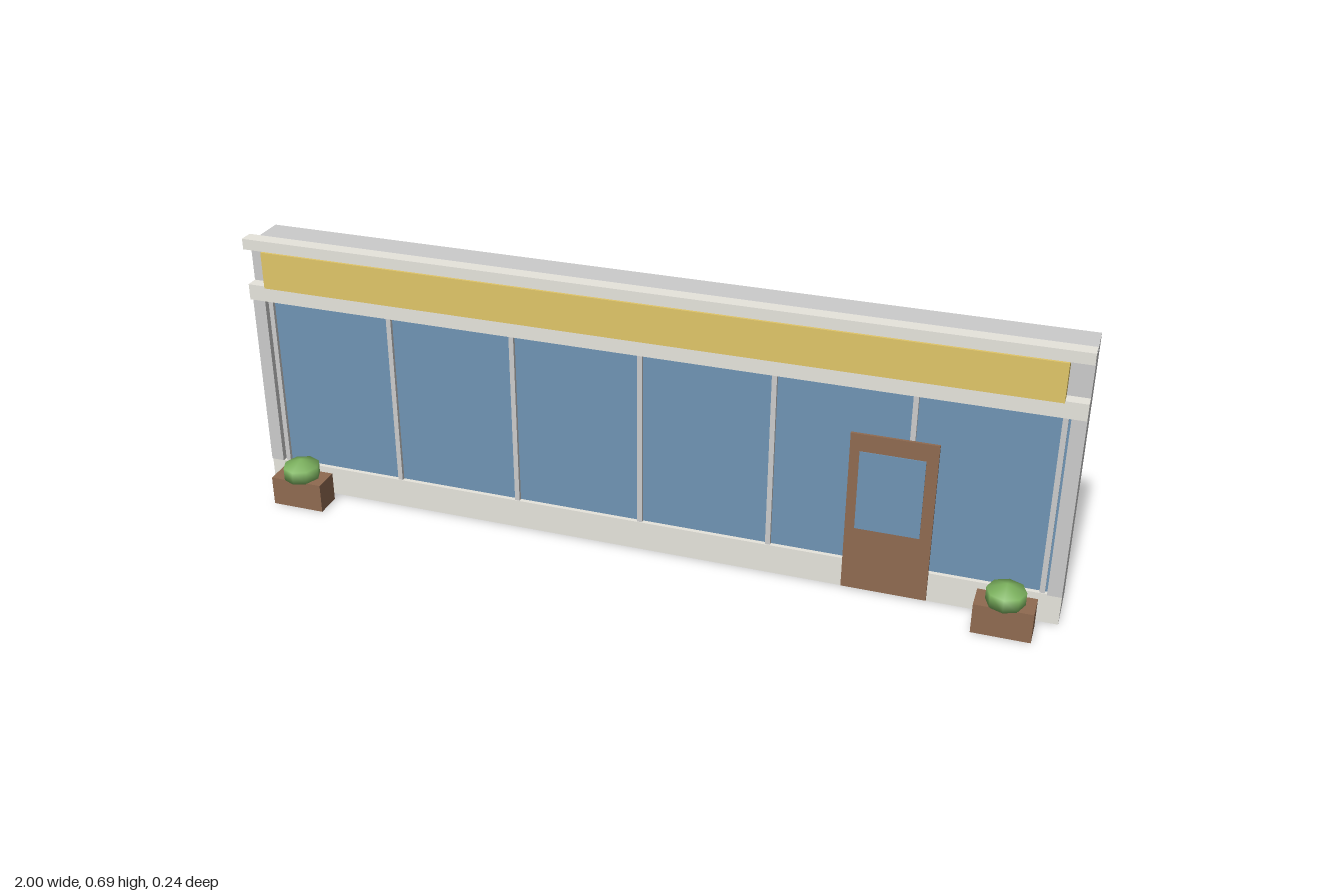
import * as THREE from 'three';

const mat = (color) => new THREE.MeshStandardMaterial({ color, side: THREE.DoubleSide });
const FACES = ['px', 'nx', 'py', 'ny', 'pz', 'nz'];

// Box given by its extents, with the listed faces left open
function shellBox(name, material, [x0, x1], [y0, y1], [z0, z1], open = []) {
  const geo = new THREE.BoxGeometry(x1 - x0, y1 - y0, z1 - z0);
  const all = Array.from(geo.index.array);
  geo.setIndex(FACES.flatMap((f, i) => (open.includes(f) ? [] : all.slice(i * 6, i * 6 + 6))));
  geo.clearGroups();
  geo.translate((x0 + x1) / 2, (y0 + y1) / 2, (z0 + z1) / 2);
  const mesh = new THREE.Mesh(geo, material);
  mesh.name = name;
  return mesh;
}

export function createModel() {
  const model = new THREE.Group();
  model.name = 'shopFront';
  const grey = mat(0xcccccc);
  const trim = mat(0xe6e4dc);
  const frame = mat(0xc4c6c8);
  const glass = mat(0x6f94b4);
  const yellow = mat(0xe0c568);
  const wood = mat(0x8f6a50);
  const green = mat(0x7db35f);
  const add = (...args) => model.add(shellBox(...args));

  // Building shell, open underneath and behind the shop window
  add('buildingShell', grey, [-1, 1], [0, 0.667], [-0.12, 0], ['pz', 'ny']);
  add('upperWall', grey, [-1, 1], [0.527, 0.667], [-0.001, 0], ['px', 'nx', 'py', 'ny', 'nz']);

  // Plinth, lintel, sign board and cornice
  add('plinth', trim, [-1, 1], [0, 0.075], [0, 0.014], ['nz', 'ny']);
  add('lintel', trim, [-1, 1], [0.527, 0.567], [0, 0.03], ['nz']);
  add('signBoard', yellow, [-0.95, 0.95], [0.567, 0.66], [0, 0.041], ['nz']);
  add('cornice', trim, [-1, 1], [0.66, 0.687], [0, 0.035]);

  // Shop window with evenly spaced mullions
  add('windowGlass', glass, [-0.99, 0.99], [0.075, 0.527], [0, 0.003], ['px', 'nx', 'py', 'ny', 'nz']);
  for (let i = -3; i <= 3; i++) {
    const x = i * 0.3185;
    add('mullion', frame, [x - 0.006, x + 0.006], [0.075, 0.527], [0, 0.012], ['nz']);
  }

  // Door with a glazed panel
  add('door', wood, [0.5, 0.7], [0.004, 0.41], [0.0145, 0.021]);
  add('doorGlass', glass, [0.523, 0.673], [0.167, 0.367], [0.019, 0.023]);

  // Corner pilasters and planters, mirrored on both sides
  for (const s of [-1, 1]) {
    const span = (a, b) => (s > 0 ? [a, b] : [-b, -a]);
    add('cornerPilaster', frame, span(0.967, 1), [0.075, 0.527], [0, 0.018], ['nz']);
    add('planter', wood, span(0.815, 0.95), [0, 0.075], [0.04, 0.107], ['ny']);

    const bush = new THREE.Mesh(new THREE.SphereGeometry(1, 8, 3), green);
    bush.name = 'bush';
    bush.scale.set(0.052, 0.033, 0.054);
    bush.position.set(s * 0.882, 0.09, 0.073);
    model.add(bush);
  }
  return model;
}
